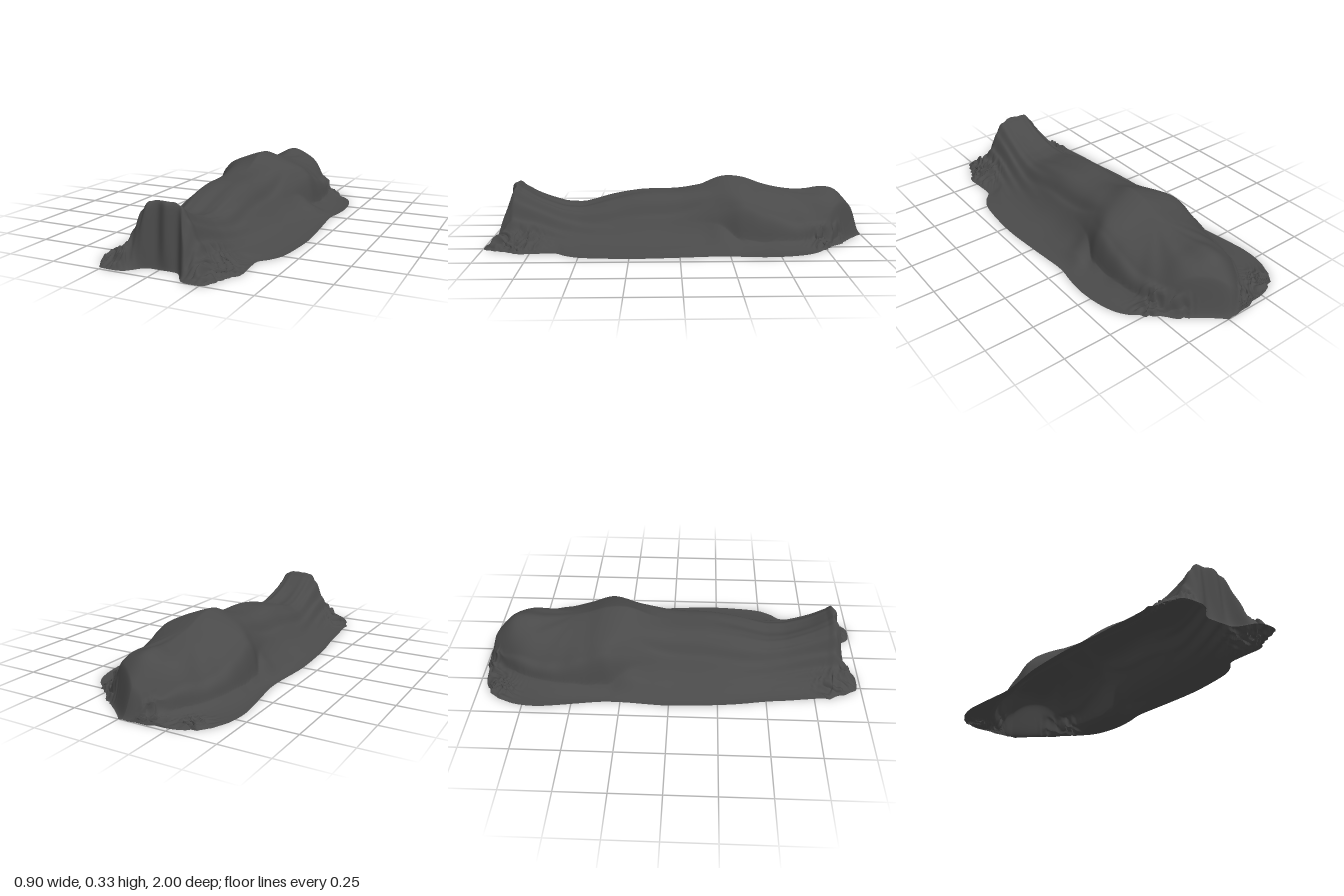
import * as THREE from 'three';

// Stations along the length: z, right edge x, left edge x, height, body half width, shape (0 dome, 1 legs)
const stations = [
  [-1.0, -0.05, 0.0, 0.03, 0.07, 0],
  [-0.97, -0.26, 0.03, 0.11, 0.09, 0],
  [-0.92, -0.37, 0.09, 0.175, 0.14, 0],
  [-0.85, -0.415, 0.18, 0.245, 0.19, 0],
  [-0.78, -0.44, 0.26, 0.26, 0.23, 0],
  [-0.68, -0.45, 0.365, 0.25, 0.265, 0],
  [-0.58, -0.44, 0.41, 0.255, 0.285, 0],
  [-0.45, -0.42, 0.43, 0.285, 0.295, 0],
  [-0.34, -0.405, 0.425, 0.322, 0.295, 0],
  [-0.23, -0.405, 0.41, 0.326, 0.29, 0.15],
  [-0.1, -0.415, 0.42, 0.275, 0.245, 0.8],
  [0.0, -0.42, 0.43, 0.252, 0.21, 1],
  [0.2, -0.41, 0.445, 0.245, 0.2, 1],
  [0.35, -0.395, 0.44, 0.22, 0.195, 1],
  [0.5, -0.37, 0.42, 0.18, 0.19, 1],
  [0.57, -0.362, 0.385, 0.18, 0.185, 1],
  [0.62, -0.357, 0.345, 0.188, 0.18, 1],
  [0.74, -0.34, 0.35, 0.232, 0.17, 1],
  [0.82, -0.335, 0.35, 0.278, 0.16, 1],
  [0.86, -0.335, 0.345, 0.3, 0.16, 1],
  [0.885, -0.33, 0.325, 0.23, 0.165, 1],
  [0.93, -0.32, 0.31, 0.1, 0.18, 1],
  [1.0, -0.27, 0.28, 0.02, 0.19, 1],
];

// Crumpled places along the hem: x, z, radius
const crumples = [
  [-0.27, 0.85, 0.08], [0.26, 0.8, 0.09], [0.24, 0.92, 0.07], [-0.2, 0.93, 0.06],
  [0.25, -0.74, 0.07], [0.16, -0.83, 0.06], [-0.32, -0.9, 0.08], [-0.16, -0.95, 0.06],
];

const clamp = THREE.MathUtils.clamp;
const smooth = THREE.MathUtils.smoothstep;
const lerp = THREE.MathUtils.lerp;
const bump = (d, r) => Math.exp(-(d * d) / (r * r));

// Smooth interpolation of one column of the station table
function sample(z, col) {
  const last = stations.length - 1;
  z = clamp(z, -1, 1);
  let i = 0;
  while (i < last - 1 && z > stations[i + 1][0]) i++;
  const tangent = (k) => {
    const a = stations[Math.max(k - 1, 0)], b = stations[Math.min(k + 1, last)];
    return (b[col] - a[col]) / (b[0] - a[0]);
  };
  const p = stations[i], q = stations[i + 1], d = q[0] - p[0];
  const t = (z - p[0]) / d, t2 = t * t, t3 = t2 * t;
  return (2 * t3 - 3 * t2 + 1) * p[col] + (t3 - 2 * t2 + t) * d * tangent(i)
    + (3 * t2 - 2 * t3) * q[col] + (t3 - t2) * d * tangent(i + 1);
}

// Height of the cloth over the body
function bodyHeight(x, z) {
  const ax = Math.abs(x + 0.02 - 0.025 * smooth(z, 0.3, 0.85));
  // the step below the chest runs back towards the elbows
  const zs = z + 0.4 * Math.min(ax, 0.27) * bump(z + 0.2, 0.15);
  const h = sample(zs, 3), w = sample(zs, 4), k = clamp(sample(zs, 5), 0, 1);
  const t = ax / w, tc = Math.min(t, 1);
  const tail = 0.042 * Math.exp(-Math.max(t - 1, 0) * 6) * smooth(t, 0.8, 1);
  // round head end, and a roof-like chest falling steeply outside the arms
  const round = Math.pow(1 - tc * tc, 0.65);
  const roof = (1 - 0.37 * Math.pow(tc, 1.15)) * (1 - Math.pow(tc, 12));
  const dome = h * lerp(round, roof, smooth(z, -0.65, -0.38)) + tail;
  const legs = h / (1 + t ** 4.4);
  let y = lerp(dome, legs, k);
  // long folds beside the legs, fanning down from the feet
  const fan = x / (0.75 + 0.5 * smooth(0.85 - z, 0, 0.8));
  const foldMask = smooth(z, 0.05, 0.75) * bump(ax - 0.16, 0.08);
  y += 0.008 * foldMask * Math.sin(fan * 110);
  y -= 0.015 * bump(ax - 0.17, 0.018) * smooth(z, -0.25, -0.05) * smooth(0.6 - z, 0, 0.4);
  // dip between the legs and soft folds around the head and arms
  y -= 0.01 * bump(x, 0.04) * smooth(z, 0.1, 0.4) * smooth(0.85 - z, 0, 0.2);
  const angle = Math.atan2(x, z + 0.45);
  y += 0.005 * Math.sin(angle * 14) * smooth(-z, 0.5, 0.75) * smooth(y, 0.02, 0.1);
  y += 0.008 * Math.sin(z * 38 + ax * 9) * bump(ax - 0.27, 0.06) * bump(z + 0.33, 0.16);
  return y;
}

// Front hem: two rounded lobes with a notch between them
function frontHem(x) {
  const lobe = (d) => Math.exp(-(d ** 4));
  return 0.9 + 0.085 * lobe((x + 0.2) / 0.105) + 0.1 * lobe((x - 0.215) / 0.095);
}

function clothGeometry(nx, nz) {
  const positions = [], indices = [];
  for (let j = 0; j <= nz; j++) {
    const v = -1 + (2 * j) / nz;
    const x0 = sample(v, 1), x1 = sample(v, 2);
    for (let i = 0; i <= nx; i++) {
      const u = i / nx;
      let x = lerp(x0, x1, u), z = v;
      if (v > 0.8) z = 0.8 + (v - 0.8) * (frontHem(x) - 0.8) / 0.2;
      let y = bodyHeight(x, z);
      // vertical folds in the cloth hanging over the feet
      z += 0.01 * Math.sin(x * 62) * smooth(v, 0.88, 0.94) * smooth(1 - v, 0, 0.04);
      // lay the hem on the ground
      const side = Math.min(u, 1 - u) * (x1 - x0);
      const edge = Math.min(smooth(side, 0, 0.1), smooth(1 - v, 0, 0.065), smooth(v + 1, -0.01, 0.05));
      y *= edge;
      // gathered ruffles
      let mask = 0;
      for (const [cx, cz, r] of crumples) mask = Math.max(mask, bump(Math.hypot(x - cx, z - cz), r));
      mask *= smooth(0.14 - y, 0, 0.08);
      const n1 = Math.sin(x * 75 + 4 * Math.sin(z * 31 + x * 17));
      const n2 = Math.sin(z * 85 + 4 * Math.sin(x * 27 - z * 13));
      const inner = Math.min(1, side / 0.02, (1 - v) / 0.02);
      y += mask * inner * (0.012 * Math.abs(n1) + 0.018 * Math.abs(n2));
      x += 0.009 * mask * n2;
      z += 0.009 * mask * n1 * smooth(1 - v, 0, 0.1);
      positions.push(x, Math.max(y, 0), clamp(z, -1, 1));
    }
  }
  for (let j = 0; j < nz; j++) {
    for (let i = 0; i < nx; i++) {
      const a = j * (nx + 1) + i, b = a + 1, c = a + nx + 1, d = c + 1;
      indices.push(a, c, b, b, c, d);
    }
  }
  const geometry = new THREE.BufferGeometry();
  geometry.setAttribute('position', new THREE.Float32BufferAttribute(positions, 3));
  geometry.setIndex(indices);
  geometry.computeVertexNormals();
  return geometry;
}

export function createModel() {
  const group = new THREE.Group();
  group.name = 'drapedCloth';
  const material = new THREE.MeshStandardMaterial({ color: 0x4a4a4a, side: THREE.DoubleSide });
  material.name = 'charcoal cloth';
  // one open sheet draped over a lying figure
  const sheet = new THREE.Mesh(clothGeometry(160, 340), material);
  sheet.name = 'sheet';
  group.add(sheet);
  return group;
}
